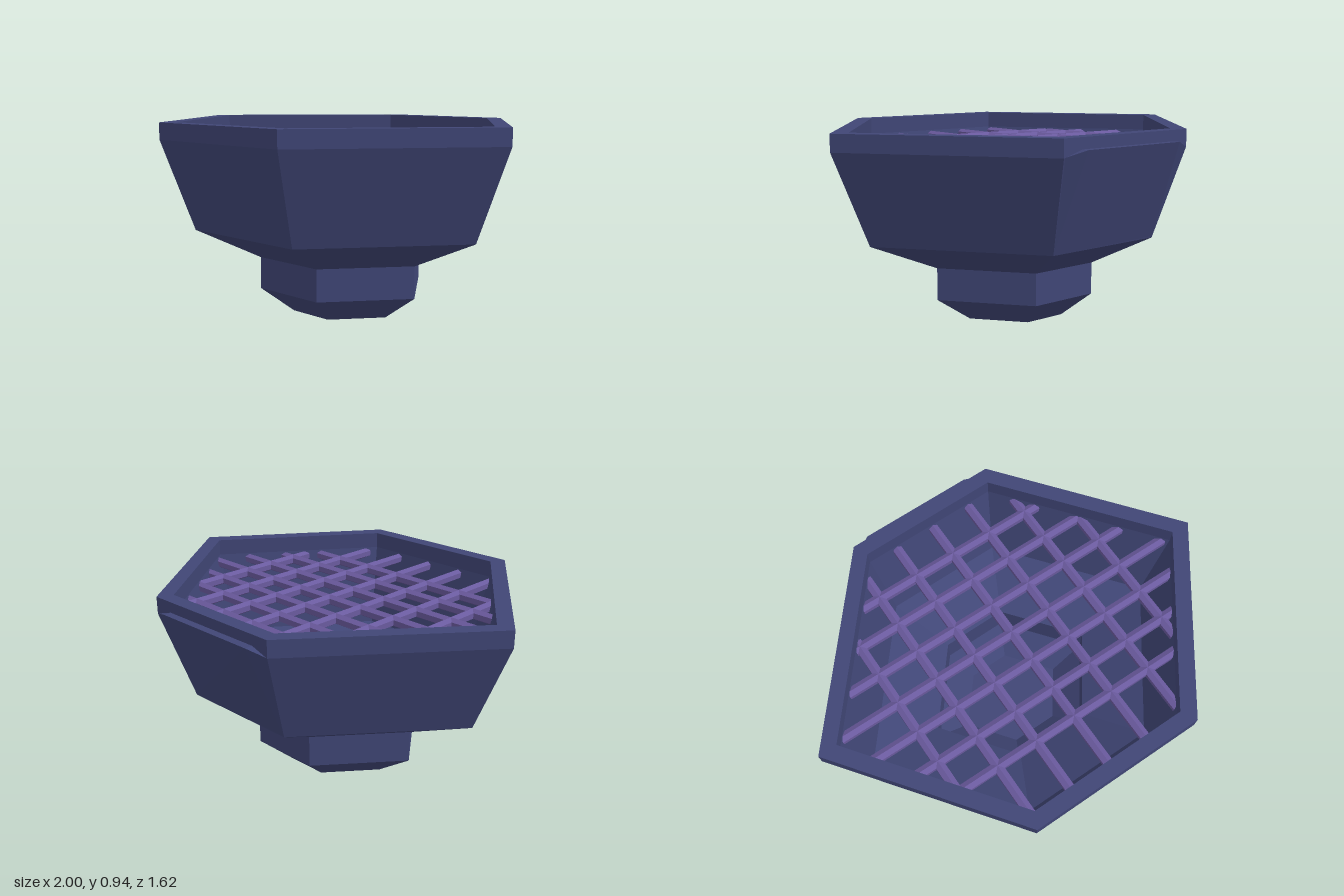
import * as THREE from 'three';
import { ConvexGeometry } from 'three/addons/geometries/ConvexGeometry.js';

// Slightly irregular hexagon plan, counter-clockwise from above: [x, z]
const HEX = [[-1, -0.03], [-0.44, 0.775], [0.405, 0.81], [1, 0.05], [0.41, -0.755], [-0.33, -0.78]];

// Loft the hexagon through a profile of [scale, y] steps
function loftHex(profile) {
  const pos = [];
  const pt = ([s, y], i) => [HEX[i % 6][0] * s, y, HEX[i % 6][1] * s];
  for (let k = 0; k < profile.length - 1; k++) {
    const lo = profile[k], hi = profile[k + 1];
    for (let i = 0; i < 6; i++) {
      const a = pt(lo, i), b = pt(lo, i + 1), c = pt(hi, i + 1), d = pt(hi, i);
      if (lo[0] > 0) pos.push(...a, ...b, ...c);
      if (hi[0] > 0) pos.push(...a, ...c, ...d);
    }
  }
  const geo = new THREE.BufferGeometry();
  geo.setAttribute('position', new THREE.Float32BufferAttribute(pos, 3));
  geo.computeVertexNormals();
  return geo;
}

// Both ends of the line p + t * d where it meets the scaled hexagon
function clipToHex(px, pz, dx, dz, s) {
  const ts = [];
  for (let i = 0; i < 6; i++) {
    const [ax, az] = HEX[i].map((v) => v * s);
    const [bx, bz] = HEX[(i + 1) % 6].map((v) => v * s);
    const ex = bx - ax, ez = bz - az;
    const det = dx * ez - dz * ex;
    if (Math.abs(det) < 1e-6) continue;
    const t = ((ax - px) * ez - (az - pz) * ex) / det;
    const u = ((ax - px) * dz - (az - pz) * dx) / det;
    if (u >= 0 && u <= 1) ts.push(t);
  }
  return [Math.min(...ts), Math.max(...ts)];
}

export function createModel() {
  const group = new THREE.Group();
  const bodyMat = new THREE.MeshStandardMaterial({ color: 0x404676, flatShading: true });
  const barMat = new THREE.MeshStandardMaterial({ color: 0x6a5a9e, flatShading: true });

  // Hollow bowl: foot, collar, flared wall, rim, then back down the inside
  const bowl = new THREE.Mesh(loftHex([
    [0, 0], [0.29, 0], [0.475, 0.125], [0.475, 0.28], [0.825, 0.43], [1, 0.86], [1, 0.94],
    [0.91, 0.94], [0.91, 0.86], [0.805, 0.45], [0.45, 0.295], [0.45, 0.14], [0.28, 0.02], [0, 0.02],
  ]), bodyMat);
  bowl.name = 'bowl';
  group.add(bowl);

  // Panel leaning out from the back wall
  const panel = new THREE.Mesh(new ConvexGeometry([
    [-0.272, 0.43, -0.643], [0.338, 0.43, -0.623],
    [-0.33, 0.86, -0.778], [0.41, 0.86, -0.753],
    [-0.24, 0.89, -0.815], [0.31, 0.89, -0.795],
    [-0.24, 0.89, -0.77], [0.31, 0.89, -0.75],
  ].map((p) => new THREE.Vector3(...p))), bodyMat);
  panel.name = 'backPanel';
  group.add(panel);

  // Grating: ridged bars in two directions, trimmed to the bowl
  const grate = new THREE.Group();
  grate.name = 'grate';
  const up = new THREE.Vector3(0, 1, 0);
  const addBar = (name, px, pz, dir) => {
    const [t0, t1] = clipToHex(px, pz, dir.x, dir.z, 0.92);
    const geo = new THREE.CylinderGeometry(0.026, 0.026, t1 - t0, 6);
    const bar = new THREE.Mesh(geo, barMat);
    bar.name = name;
    const mid = (t0 + t1) / 2;
    bar.position.set(px + dir.x * mid, 0.83, pz + dir.z * mid);
    // Local z points up so a ridge runs along the top
    const side = new THREE.Vector3().crossVectors(dir, up);
    bar.quaternion.setFromRotationMatrix(new THREE.Matrix4().makeBasis(side, dir, up));
    grate.add(bar);
  };
  const across = new THREE.Vector3(1, 0, 0.048).normalize();
  const along = new THREE.Vector3(-0.036, 0, 1).normalize();
  for (let i = -3; i <= 3; i++) {
    addBar('crossBar', 0, -0.03 + i * 0.163, across);
    addBar('lengthBar', 0.025 + i * 0.204, 0, along);
  }
  group.add(grate);
  return group;
}
